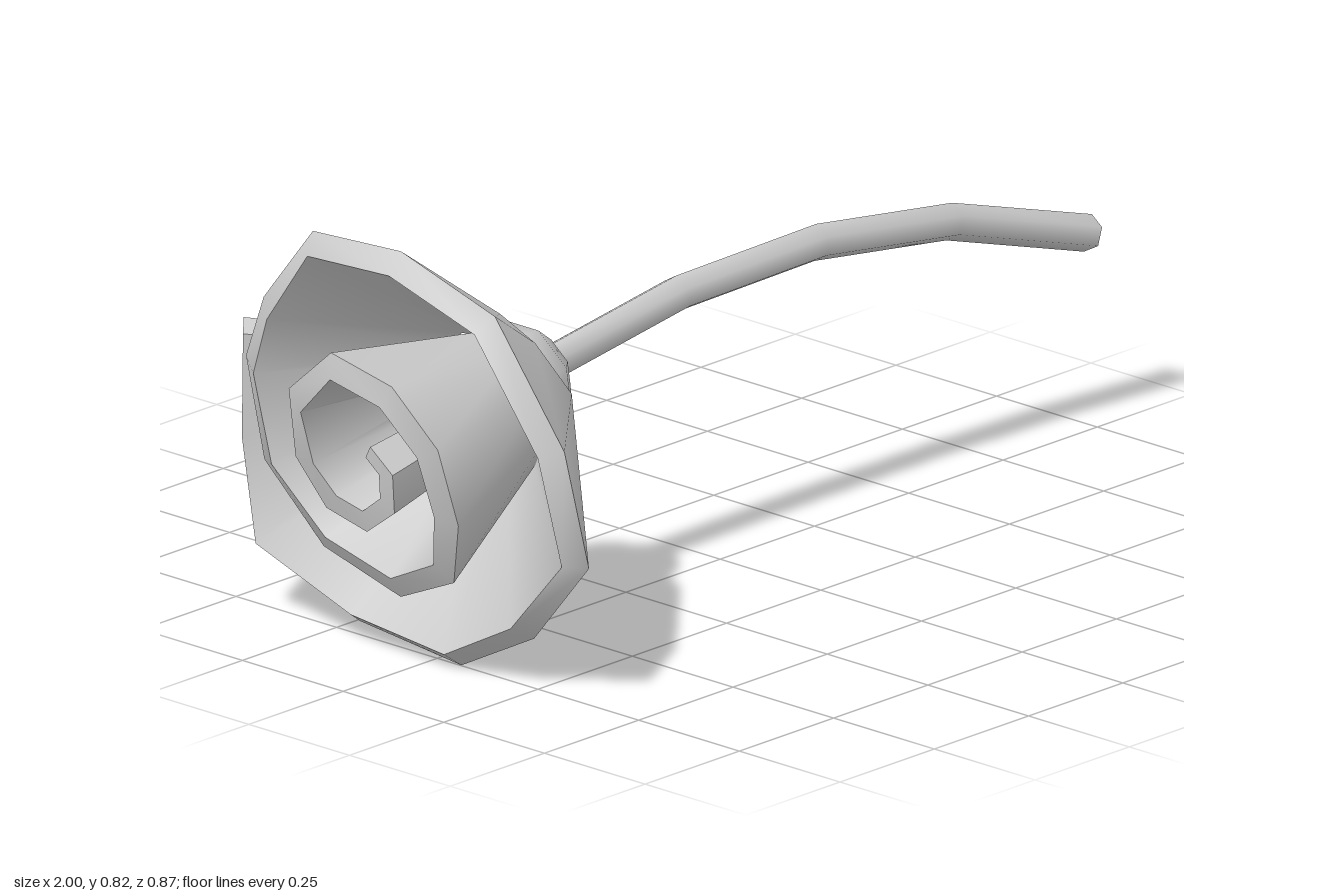
import * as THREE from 'three';
import { toCreasedNormals } from 'three/addons/utils/BufferGeometryUtils.js';

const material = new THREE.MeshStandardMaterial({ color: 0xcccccc });
const rad = THREE.MathUtils.degToRad;

// Skin a row of closed cross-sections and cap both ends
function loft(rings, crease) {
  const n = rings[0].length, last = (rings.length - 1) * n, index = [];
  for (let k = 0; k < rings.length - 1; k++) {
    for (let i = 0; i < n; i++) {
      const a = k * n + i, b = k * n + (i + 1) % n;
      index.push(a, a + n, b, b, a + n, b + n);
    }
  }
  for (let i = 1; i < n - 1; i++) {
    index.push(0, i, i + 1, last, last + i + 1, last + i);
  }
  const geometry = new THREE.BufferGeometry();
  geometry.setAttribute('position', new THREE.Float32BufferAttribute(rings.flat(2), 3));
  geometry.setIndex(index);
  return toCreasedNormals(geometry, crease);
}

function named(name, geometry) {
  const mesh = new THREE.Mesh(geometry, material);
  mesh.name = name;
  return mesh;
}

// Bent six-sided stem
function createStem() {
  const path = [[-0.5, 0.48], [-0.1, 0.538], [0.265, 0.543], [0.62, 0.493], [0.988, 0.378]];
  const rings = path.map(([x, y], k) => {
    const p = path[Math.max(k - 1, 0)], q = path[Math.min(k + 1, path.length - 1)];
    const slope = Math.atan2(q[1] - p[1], q[0] - p[0]);
    return Array.from({ length: 6 }, (_, i) => {
      const a = i * Math.PI / 3, up = 0.035 * Math.cos(a);
      return [x - up * Math.sin(slope), y + up * Math.cos(slope), -0.012 - 0.035 * Math.sin(a)];
    });
  });
  return named('stem', loft(rings, rad(62)));
}

// One thick petal sheet rolled into a spiral cone, from the outer end inwards.
// Each station: angle in degrees, rim radius, rim height, base radius
function createPetals() {
  const stations = [
    [17, 0.45, 0.21, 0.21], [-11, 0.45, 0.235, 0.19], [-36, 0.51, 0.25, 0.175],
    [-66, 0.44, 0.255, 0.18], [-99, 0.435, 0.255, 0.185], [-129, 0.42, 0.255, 0.185],
    [-162, 0.455, 0.26, 0.17], [-192, 0.41, 0.255, 0.18], [-231, 0.42, 0.255, 0.155],
    [-264, 0.405, 0.255, 0.16], [-293, 0.43, 0.265, 0.165], [-321, 0.38, 0.285, 0.17],
    [-340, 0.355, 0.31, 0.165], [-375, 0.33, 0.31, 0.155], [-410, 0.3, 0.31, 0.15],
    [-450, 0.28, 0.32, 0.14], [-490, 0.26, 0.345, 0.135], [-525, 0.23, 0.37, 0.13],
    [-565, 0.23, 0.385, 0.13], [-600, 0.24, 0.395, 0.125], [-635, 0.245, 0.4, 0.12],
    [-675, 0.2, 0.4, 0.11], [-720, 0.15, 0.395, 0.1], [-765, 0.13, 0.39, 0.09],
    [-810, 0.12, 0.385, 0.08], [-860, 0.1, 0.385, 0.07], [-910, 0.085, 0.385, 0.06],
    [-960, 0.07, 0.385, 0.05],
  ];
  const rings = stations.map(([deg, rimR, rimT, baseR]) => {
    const a = rad(deg), dr = rimR - baseR, len = Math.hypot(dr, rimT);
    const thick = Math.min(0.05, 0.55 * baseR);
    const inR = -rimT / len * thick, inT = dr / len * thick;
    const at = (r, t) => [-t, r * Math.sin(a), -r * Math.cos(a)];
    return [at(baseR, 0), at(rimR, rimT), at(rimR + inR, rimT + inT), at(baseR + inR, inT)];
  });
  return named('petals', loft(rings, rad(50)));
}

export function createModel() {
  const model = new THREE.Group();
  model.name = 'flower';
  model.add(createStem());

  // Flower head, nodding slightly down along its axis
  const head = new THREE.Group();
  head.name = 'flowerHead';
  head.position.set(-0.565, 0.47, -0.01);
  head.rotation.z = 0.16;
  const calyx = named('calyx', new THREE.SphereGeometry(0.13, 8, 6));
  calyx.rotation.set(rad(22.5), 0, -Math.PI / 2, 'XYZ');
  head.add(createPetals(), calyx);
  model.add(head);
  return model;
}
